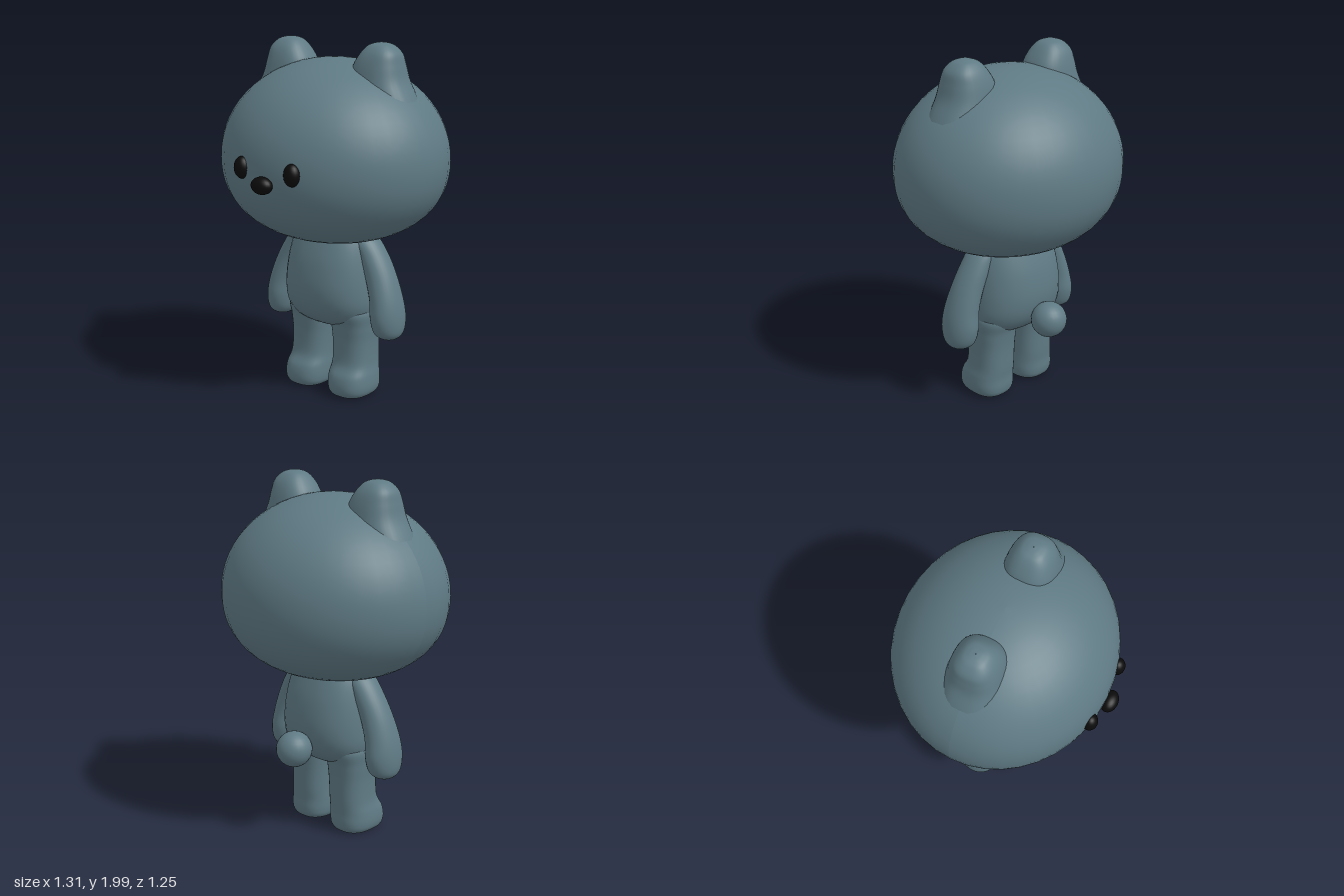
import * as THREE from 'three';

// Smooth closed loft through sections [y, centreX, centreZ, radiusX, radiusZ], bottom to top.
// power 2 gives ellipses, larger values give rounded boxes.
function loft(sections, power = 2, sides = 32, steps = 6) {
  const centres = new THREE.CatmullRomCurve3(
    sections.map(([y, x, z]) => new THREE.Vector3(x, y, z)), false, 'catmullrom', 0.5);
  const radii = new THREE.CatmullRomCurve3(
    sections.map((s) => new THREE.Vector3(s[3], s[4], 0)), false, 'catmullrom', 0.5);
  const rows = (sections.length - 1) * steps;
  const positions = [];
  const indices = [];
  const bend = (v) => Math.sign(v) * Math.abs(v) ** (2 / power);
  for (let i = 0; i <= rows; i++) {
    const c = centres.getPoint(i / rows);
    const r = radii.getPoint(i / rows);
    for (let j = 0; j < sides; j++) {
      const a = (j / sides) * Math.PI * 2;
      positions.push(
        c.x + Math.max(r.x, 0.001) * bend(Math.cos(a)),
        c.y,
        c.z + Math.max(r.y, 0.001) * bend(Math.sin(a)));
      if (i < rows) {
        const k = (j + 1) % sides;
        const p = i * sides + j, q = i * sides + k;
        indices.push(p, p + sides, q, q, p + sides, q + sides);
      }
    }
  }
  const geometry = new THREE.BufferGeometry();
  geometry.setAttribute('position', new THREE.Float32BufferAttribute(positions, 3));
  geometry.setIndex(indices);
  geometry.computeVertexNormals();
  return geometry;
}

// Round head: elliptical dome above the cheeks, fuller curve below them
function headGeometry() {
  const geometry = new THREE.SphereGeometry(1, 40, 32);
  const p = geometry.attributes.position;
  for (let i = 0; i < p.count; i++) {
    const y = p.getY(i);
    const ring = Math.hypot(p.getX(i), p.getZ(i));
    const n = y < 0 ? 2.25 : 2;
    const r = Math.max(0, 1 - Math.abs(y) ** n) ** (1 / n);
    const s = ring > 1e-6 ? r / ring : 0;
    p.setXYZ(i, p.getX(i) * s * 0.655, 1.36 + y * (y < 0 ? 0.467 : 0.543), p.getZ(i) * s * 0.595 - 0.03);
  }
  geometry.computeVertexNormals();
  return geometry;
}

export function createModel() {
  const model = new THREE.Group();
  const fur = new THREE.MeshStandardMaterial({ color: 0x5f7a84 });
  fur.name = 'slateBlueFur';
  const black = new THREE.MeshStandardMaterial({ color: 0x0b0b0b });
  black.name = 'black';

  const add = (name, geometry, material) => {
    const mesh = new THREE.Mesh(geometry, material);
    mesh.name = name;
    model.add(mesh);
    return mesh;
  };
  const ball = (name, material, position, radii) => {
    const mesh = add(name, new THREE.SphereGeometry(1, 24, 16), material);
    mesh.position.set(...position);
    mesh.scale.set(...radii);
  };

  add('head', headGeometry(), fur);

  // Pear-shaped torso
  add('body', loft([
    [0.385, 0, -0.04, 0.002, 0.002],
    [0.40, 0, -0.04, 0.13, 0.09],
    [0.45, 0, -0.04, 0.24, 0.175],
    [0.53, 0, -0.04, 0.28, 0.23],
    [0.64, 0, -0.04, 0.283, 0.25],
    [0.78, 0, -0.04, 0.268, 0.235],
    [0.90, 0, -0.04, 0.24, 0.2],
    [1.0, 0, -0.04, 0.19, 0.16],
  ], 2.3), fur);

  // Tail
  ball('tail', fur, [0, 0.525, -0.35], [0.1, 0.1, 0.1]);

  for (const [side, s] of [['left', 1], ['right', -1]]) {
    // Ear, widening into the head
    add(side + 'Ear', loft([
      [1.55, s * 0.32, -0.03, 0.26, 0.18],
      [1.70, s * 0.305, -0.03, 0.205, 0.16],
      [1.80, s * 0.3, -0.03, 0.157, 0.142],
      [1.88, s * 0.3, -0.03, 0.135, 0.125],
      [1.94, s * 0.31, -0.03, 0.108, 0.102],
      [1.98, s * 0.31, -0.03, 0.07, 0.068],
      [1.995, s * 0.31, -0.03, 0.035, 0.035],
      [2.0, s * 0.31, -0.03, 0.002, 0.002],
    ], 2.5), fur);

    // Arm hanging outward to a rounded hand
    add(side + 'Arm', loft([
      [0.372, s * 0.385, -0.03, 0.002, 0.002],
      [0.382, s * 0.383, -0.03, 0.048, 0.055],
      [0.42, s * 0.379, -0.03, 0.08, 0.098],
      [0.50, s * 0.373, -0.03, 0.09, 0.117],
      [0.60, s * 0.36, -0.03, 0.086, 0.108],
      [0.72, s * 0.32, -0.035, 0.085, 0.096],
      [0.83, s * 0.265, -0.04, 0.082, 0.09],
      [0.92, s * 0.205, -0.04, 0.075, 0.08],
      [0.98, s * 0.17, -0.04, 0.03, 0.03],
    ]), fur);

    // Leg with a foot pushed forward
    add(side + 'Leg', loft([
      [0.008, s * 0.155, -0.01, 0.002, 0.002],
      [0.010, s * 0.155, -0.01, 0.09, 0.11],
      [0.03, s * 0.155, -0.01, 0.12, 0.14],
      [0.07, s * 0.155, -0.01, 0.13, 0.149],
      [0.13, s * 0.153, -0.015, 0.128, 0.143],
      [0.20, s * 0.149, -0.035, 0.12, 0.127],
      [0.32, s * 0.146, -0.04, 0.12, 0.125],
      [0.42, s * 0.145, -0.04, 0.127, 0.135],
      [0.52, s * 0.14, -0.04, 0.13, 0.15],
      [0.60, s * 0.13, -0.04, 0.05, 0.05],
    ], 2.6), fur);

    ball(side + 'Eye', black, [s * 0.17, 1.362, 0.54], [0.046, 0.06, 0.042]);
  }

  ball('nose', black, [0, 1.293, 0.58], [0.064, 0.047, 0.046]);
  return model;
}
